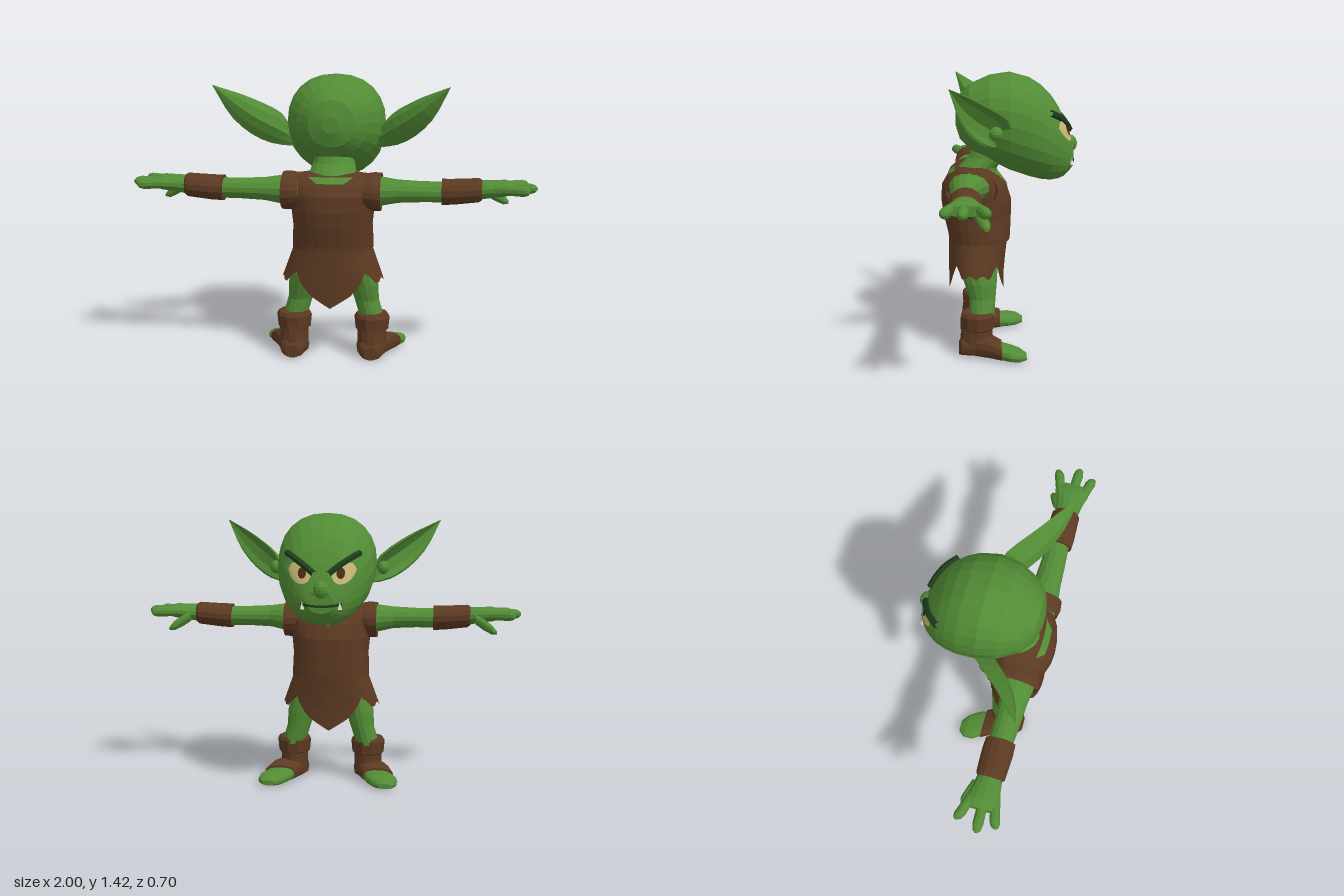
import * as THREE from 'three';

const V = (x, y, z) => new THREE.Vector3(x, y, z);
const paint = (name, color) => {
  const m = new THREE.MeshStandardMaterial({ color, flatShading: true, side: THREE.DoubleSide });
  m.name = name;
  return m;
};

// Skin a list of equal-length point rings, turned to face outwards
function skin(rings, capped = true) {
  const n = rings[0].length, pts = rings.flat(), idx = [];
  for (let r = 0; r < rings.length - 1; r++) for (let i = 0; i < n; i++) {
    const a = r * n + i, b = r * n + (i + 1) % n;
    idx.push(a, b, b + n, a, b + n, a + n);
  }
  if (capped) [0, rings.length - 1].forEach((r) => {
    const c = rings[r].reduce((s, p) => s.add(p), V(0, 0, 0)).divideScalar(n);
    const k = pts.push(c) - 1;
    for (let i = 0; i < n; i++) {
      const a = r * n + i, b = r * n + (i + 1) % n;
      if (r) idx.push(a, b, k); else idx.push(b, a, k);
    }
  });
  const mid = pts.reduce((s, p) => s.add(p), V(0, 0, 0)).divideScalar(pts.length);
  let vol = 0;
  for (let i = 0; i < idx.length; i += 3) {
    const [a, b, c] = [0, 1, 2].map((j) => pts[idx[i + j]].clone().sub(mid));
    vol += a.dot(b.cross(c));
  }
  if (vol < 0) idx.reverse();
  const g = new THREE.BufferGeometry().setFromPoints(pts);
  g.setIndex(idx);
  g.computeVertexNormals();
  return g;
}

// Rows are [position on axis, two centre values, two radii]
function loft(axis, rows, n = 14, power = 1, capped = true) {
  const soft = (v) => Math.sign(v) * Math.abs(v) ** power;
  return skin(rows.map(([t, c1, c2, r1, r2]) => Array.from({ length: n }, (_, i) => {
    const a = (i / n) * Math.PI * 2;
    const p = c1 + r1 * soft(Math.cos(a)), q = c2 + r2 * soft(Math.sin(a));
    return axis === 'x' ? V(t, p, q) : axis === 'y' ? V(p, t, q) : V(p, q, t);
  })), capped);
}

function mirrored(geo) {
  const g = geo.clone().scale(-1, 1, 1);
  g.index.array.reverse();
  g.computeVertexNormals();
  return g;
}

// Point on a mesh at (x, y), lifted off the surface; dir is the ray's z direction
function project(mesh, x, y, lift, dir = 1) {
  const hit = new THREE.Raycaster(V(x, y, -2 * dir), V(0, 0, dir)).intersectObject(mesh)[0];
  if (!hit) return V(x, y, 0);
  const nrm = hit.face.normal.clone();
  if (nrm.z * dir > 0) nrm.negate();
  return hit.point.addScaledVector(nrm, lift);
}

// Thin face laid on a mesh; fn maps (u, v) to [x, y]
function patch(mesh, fn, nu, nv, lift, dir = 1) {
  const g = new THREE.PlaneGeometry(1, 1, nu, nv), p = g.attributes.position;
  for (let i = 0; i < p.count; i++) {
    const [x, y] = fn(p.getX(i) + 0.5, p.getY(i) + 0.5);
    const q = project(mesh, x, y, lift, dir);
    p.setXYZ(i, q.x, q.y, q.z);
  }
  g.computeVertexNormals();
  return g;
}

export function createModel() {
  const model = new THREE.Group();
  const green = paint('skin green', 0x528c35), brown = paint('leather brown', 0x5c3a22);
  const tan = paint('eye tan', 0xc8b878), dark = paint('brow dark green', 0x1e3d1c);
  const iris = paint('iris brown', 0x4a2a14), white = paint('tooth white', 0xe0e0dc);
  const add = (name, geo, mat) => {
    const m = new THREE.Mesh(geo, mat);
    m.name = name;
    model.add(m);
    return m;
  };
  const pair = (name, geo, mat) => {
    add(name + 'Left', geo, mat);
    add(name + 'Right', mirrored(geo), mat);
  };
  const ball = (x, y, z, rx, ry, rz) =>
    new THREE.SphereGeometry(1, 12, 8).scale(rx, ry, rz).translate(x, y, z);

  // Head, from the back of the skull to the muzzle: [z, top, bottom, half width]
  const head = add('head', loft('z', [
    [0.272, 1.24, 1.16, 0.04], [0.25, 1.32, 1.09, 0.115], [0.2, 1.37, 1.04, 0.178], [0.1, 1.415, 0.985, 0.235],
    [0, 1.43, 0.935, 0.252], [-0.1, 1.403, 0.9, 0.243], [-0.16, 1.365, 0.885, 0.224], [-0.21, 1.315, 0.88, 0.2],
    [-0.25, 1.255, 0.887, 0.17], [-0.28, 1.19, 0.9, 0.14], [-0.305, 1.12, 0.925, 0.105], [-0.325, 1.05, 0.95, 0.065],
  ].map(([z, t, b, w]) => [z, 0, (t + b) / 2, w, (t - b) / 2]), 24, 0.9), green);
  add('neck', loft('y', [[0.88, 0, 0.18, 0.14, 0.11], [0.95, 0, 0.16, 0.118, 0.1],
    [1.0, 0, 0.11, 0.105, 0.1], [1.06, 0, 0.08, 0.1, 0.1]], 16), green);

  // Face
  add('nose', ball(0, 1.065, -0.31, 0.04, 0.045, 0.038), green);
  pair('nostril', ball(0.035, 1.05, -0.303, 0.025, 0.022, 0.025), green);
  const almond = (u, v) => [0.05 + 0.115 * u,
    1.125 + 0.035 * u + (v - 0.5) * 0.1 * Math.sin(Math.PI * u) ** 0.6];
  pair('eye', patch(head, almond, 10, 4, 0.006), tan);
  pair('iris', patch(head, (u, v) => [0.092 + 0.02 * v * Math.cos(u * 6.2832),
    1.142 + 0.027 * v * Math.sin(u * 6.2832)], 12, 2, 0.009), iris);
  const browLine = [[0.035, 1.14], [0.08, 1.175], [0.13, 1.21], [0.175, 1.235]]
    .map(([x, y]) => project(head, x, y, 0.008));
  pair('brow', new THREE.TubeGeometry(new THREE.CatmullRomCurve3(browLine), 10, 0.017, 6), dark);
  add('mouth', patch(head, (u, v) => [0.2 * (u - 0.5),
    0.985 + 0.05 * (u - 0.5) ** 2 + (v - 0.5) * 0.012], 16, 1, 0.004), dark);
  const fang = project(head, 0.09, 0.99, 0.004);
  pair('fang', new THREE.ConeGeometry(0.012, 0.04, 5).translate(fang.x, fang.y, fang.z), white);

  // Ears: cupped sections between a front edge and a back edge
  const front = new THREE.CatmullRomCurve3([V(0.23, 1.12, -0.01), V(0.265, 1.21, 0), V(0.4, 1.31, 0.13), V(0.57, 1.39, 0.282)]);
  const back = new THREE.CatmullRomCurve3([V(0.2, 1.07, 0.07), V(0.29, 1.08, 0.1), V(0.39, 1.13, 0.17), V(0.49, 1.23, 0.235), V(0.572, 1.388, 0.286)]);
  const facing = V(0.6, -0.23, -0.77);
  const earRings = [];
  for (let k = 0; k <= 9; k++) {
    const f = front.getPointAt(k / 9), b = back.getPointAt(k / 9), w = f.distanceTo(b);
    const at = (s, off) => f.clone().lerp(b, s).addScaledVector(facing, off * w);
    earRings.push([
      ...[0, 0.15, 0.35, 0.65, 0.85, 1].map((s) => at(s, -0.42 * Math.sin(Math.PI * s))),
      ...[0.93, 0.78, 0.5, 0.22, 0.07].map((s) => at(s, 0.08 - 0.32 * Math.sin(Math.PI * s))),
    ]);
  }
  pair('ear', skin(earRings), green);
  pair('earLobe', ball(0.28, 1.15, 0.07, 0.03, 0.035, 0.035), green);

  // Tunic
  const tunic = add('tunic', loft('y', [
    [0.575, 0, 0.155, 0.205, 0.158], [0.6, 0, 0.155, 0.205, 0.16], [0.7, 0, 0.165, 0.2, 0.174],
    [0.78, 0, 0.17, 0.208, 0.18], [0.86, 0, 0.18, 0.222, 0.165], [0.91, 0, 0.185, 0.235, 0.13],
    [0.945, 0, 0.185, 0.222, 0.09], [0.957, 0, 0.175, 0.13, 0.06]], 24, 0.9), brown);
  pair('sleeve', loft('x', [[0.16, 0.868, 0.195, 0.085, 0.12], [0.205, 0.866, 0.193, 0.095, 0.13],
    [0.245, 0.865, 0.19, 0.094, 0.128]], 18, 1, false), brown);
  add('necklineFront', patch(tunic, (u, v) => [(u - 0.5) * 0.22 * v, 0.845 + 0.095 * v], 8, 6, 0.005), green);
  add('necklineBack', patch(tunic, (u, v) => [(u - 0.5) * 0.22 * (0.6 + 0.4 * v), 0.915 + 0.028 * v], 8, 3, 0.005, -1), green);

  // Ragged skirt: hem height by degrees away from the front or back centre
  const hem = [[0, 0.29], [25, 0.36], [46, 0.47], [62, 0.4], [78, 0.435], [90, 0.41]];
  const hemAt = (d) => {
    const i = Math.max(1, hem.findIndex((h) => h[0] >= d));
    const [a, b] = [hem[i - 1], hem[i]];
    return a[1] + (b[1] - a[1]) * (d - a[0]) / (b[0] - a[0]);
  };
  const skirtRings = [0, 0.35, 0.7, 1].map((t) => Array.from({ length: 48 }, (_, i) => {
    const a = (i / 48) * Math.PI * 2, s = Math.sin(a), c = Math.cos(a);
    const deg = Math.min(90, THREE.MathUtils.radToDeg(Math.atan2(Math.abs(s), Math.abs(c))));
    const y = 0.59 + (hemAt(deg) - 0.59) * t, drop = Math.min(1, (0.59 - y) / 0.18);
    return V(s * (0.195 + 0.065 * drop), y, 0.16 + 0.012 * drop + c * (0.152 - 0.01 * drop));
  }));
  add('skirt', skin(skirtRings, false), brown);
  add('hips', ball(0, 0.5, 0.16, 0.17, 0.08, 0.12), green);

  // Arms, bracers and hands
  pair('arm', loft('x', [[0.16, 0.87, 0.195, 0.08, 0.11], [0.25, 0.872, 0.21, 0.072, 0.09], [0.33, 0.875, 0.22, 0.058, 0.07],
    [0.45, 0.875, 0.22, 0.052, 0.064], [0.56, 0.875, 0.215, 0.052, 0.06], [0.72, 0.888, 0.215, 0.048, 0.06],
    [0.79, 0.895, 0.213, 0.042, 0.072], [0.85, 0.9, 0.213, 0.038, 0.09], [0.89, 0.9, 0.213, 0.026, 0.086]]), green);
  pair('bracer', loft('x', [[0.54, 0.875, 0.215, 0.05, 0.06], [0.541, 0.875, 0.215, 0.065, 0.075], [0.6, 0.877, 0.215, 0.064, 0.078],
    [0.72, 0.887, 0.215, 0.06, 0.073], [0.735, 0.888, 0.215, 0.05, 0.06]]), brown);
  [[0.155, 0.115, 0.965], [0.216, 0.222, 1.0], [0.272, 0.302, 0.96]].forEach(([z0, z1, tip], i) => {
    const L = tip - 0.84;
    pair('finger' + (i + 1), loft('x', [[0, 0.026], [0.4, 0.026], [0.75, 0.027], [0.92, 0.02], [1, 0.007]]
      .map(([t, r]) => [0.84 + L * t, 0.9, z0 + (z1 - z0) * t, r, r]), 10), green);
  });
  pair('thumb', loft('x', [[0.76, 0.88, 0.165, 0.03, 0.03], [0.8, 0.853, 0.145, 0.03, 0.027],
    [0.845, 0.826, 0.125, 0.025, 0.024], [0.87, 0.812, 0.118, 0.008, 0.01]], 10), green);

  // Legs, boots and bare toes
  pair('leg', loft('y', [[0.55, 0.1, 0.16, 0.085, 0.105], [0.45, 0.128, 0.16, 0.088, 0.1], [0.38, 0.155, 0.15, 0.075, 0.085],
    [0.3, 0.17, 0.14, 0.063, 0.068], [0.2, 0.2, 0.145, 0.062, 0.065]]), green);
  pair('bootShaft', loft('y', [[0.03, 0.2, 0.178, 0.074, 0.08], [0.09, 0.2, 0.172, 0.073, 0.085],
    [0.17, 0.2, 0.167, 0.072, 0.08]]), brown);
  pair('bootCuff', loft('y', [[0.14, 0.2, 0.165, 0.07, 0.075], [0.15, 0.2, 0.165, 0.084, 0.083],
    [0.215, 0.2, 0.165, 0.09, 0.088], [0.233, 0.2, 0.165, 0.08, 0.078]], 10), brown);
  pair('bootFoot', loft('z', [[0.262, 0.2, 0.04, 0.035, 0.032], [0.245, 0.2, 0.055, 0.06, 0.048], [0.18, 0.2, 0.06, 0.078, 0.054],
    [0.1, 0.235, 0.06, 0.084, 0.054], [0.045, 0.263, 0.047, 0.082, 0.042]], 14, 0.75), brown);
  pair('toes', loft('z', [[0.06, 0.255, 0.044, 0.075, 0.038], [0, 0.283, 0.038, 0.082, 0.033],
    [-0.045, 0.297, 0.033, 0.068, 0.028], [-0.08, 0.303, 0.027, 0.032, 0.014]], 14, 0.8), green);

  // Stand on the ground
  const low = new THREE.Box3().setFromObject(model).min.y;
  model.children.forEach((m) => m.geometry.translate(0, -low, 0));
  return model;
}
